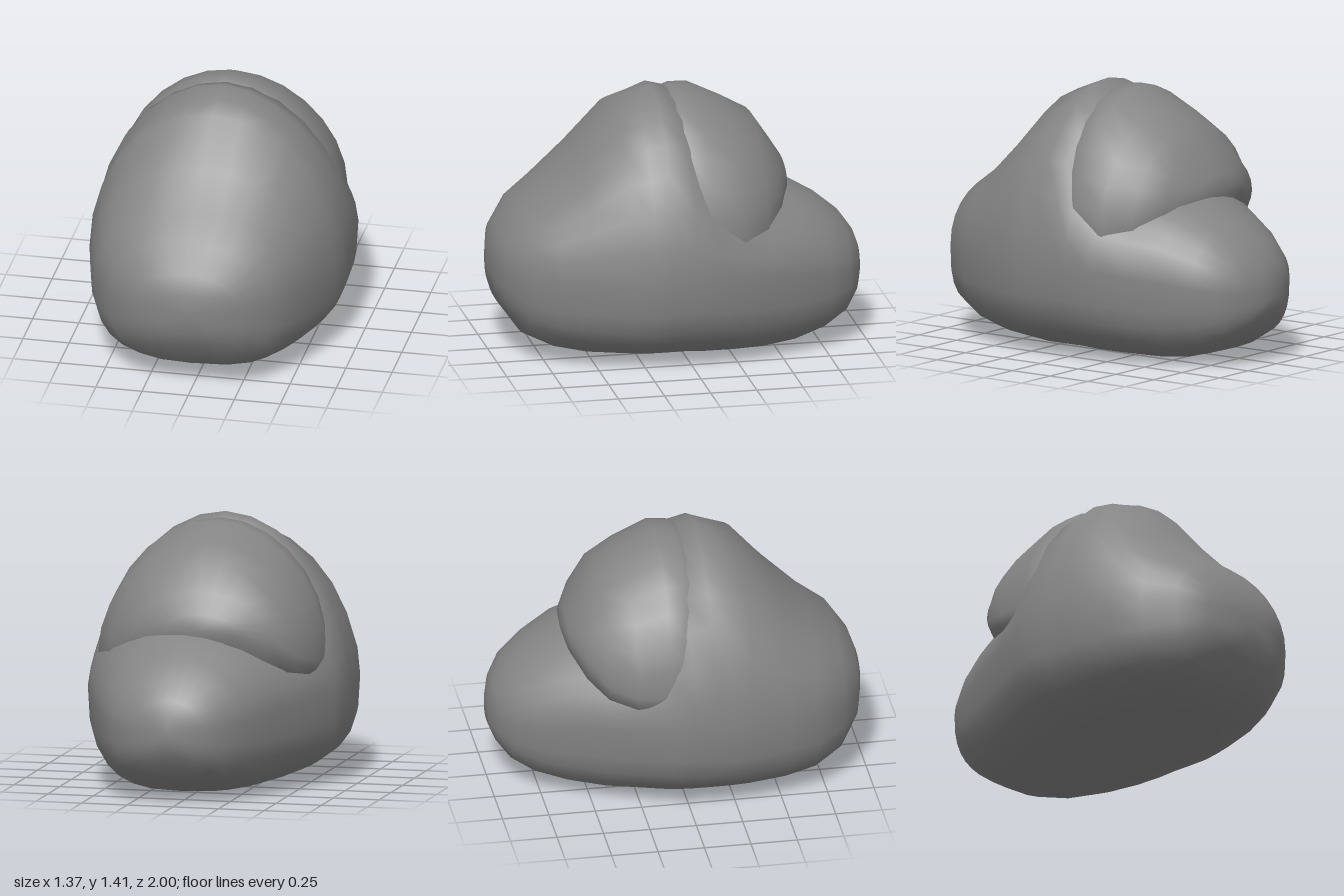
import * as THREE from 'three';
import { mergeVertices } from 'three/addons/utils/BufferGeometryUtils.js';

const SIDES = 28;

// Rounded lump lofted from front to back.
// Each section: [z, centre x, half width, bottom y, widest y, top y, roundness of the top]
function lump(name, sections, lowerPower, material) {
  const pos = [], index = [];
  for (const [z, cx, w, bottom, mid, top, upperPower = 1.9] of sections) {
    for (let j = 0; j < SIDES; j++) {
      const a = (j / SIDES) * Math.PI * 2;
      const c = Math.cos(a), s = Math.sin(a);
      const e = 2 / (s < 0 ? lowerPower : upperPower);
      const x = cx + w * Math.sign(c) * Math.abs(c) ** e;
      const y = mid + (s < 0 ? bottom - mid : top - mid) * Math.abs(s) ** e;
      pos.push(x, y, z);
    }
  }
  for (let i = 0; i < sections.length - 1; i++) {
    for (let j = 0; j < SIDES; j++) {
      const a = i * SIDES + j, d = i * SIDES + ((j + 1) % SIDES);
      const b = a + SIDES, c = d + SIDES;
      index.push(a, b, d, d, b, c);
    }
  }
  let geo = new THREE.BufferGeometry();
  geo.setAttribute('position', new THREE.Float32BufferAttribute(pos, 3));
  geo.setIndex(index);
  geo = mergeVertices(geo, 1e-4); // join the points at both ends
  geo.computeVertexNormals();
  const mesh = new THREE.Mesh(geo, material);
  mesh.name = name;
  return mesh;
}

export function createModel() {
  const group = new THREE.Group();
  group.name = 'boulder';
  const stone = new THREE.MeshStandardMaterial({ color: 0x848484 });

  // Long base: bulging front, high middle, low rounded tail
  group.add(lump('baseLump', [
    [1.0, -0.02, 0, 0.46, 0.46, 0.46],
    [0.985, -0.01, 0.15, 0.35, 0.48, 0.58, 2.1],
    [0.95, -0.02, 0.29, 0.26, 0.49, 0.68, 2.2],
    [0.85, -0.02, 0.44, 0.12, 0.49, 0.82, 2.2],
    [0.7, -0.03, 0.54, 0.05, 0.49, 0.93, 2.2],
    [0.53, -0.02, 0.61, 0.02, 0.5, 1.1, 2.1],
    [0.33, -0.01, 0.665, 0.01, 0.5, 1.33, 2],
    [0.22, 0, 0.68, 0.005, 0.5, 1.375],
    [0.12, 0, 0.685, 0.005, 0.51, 1.415],
    [0, 0, 0.685, 0.005, 0.52, 1.38],
    [-0.1, 0.01, 0.67, 0, 0.52, 1.2],
    [-0.25, 0.03, 0.63, 0, 0.51, 1.0],
    [-0.42, 0.04, 0.565, 0, 0.49, 0.92],
    [-0.6, 0.05, 0.485, 0.02, 0.47, 0.86, 2],
    [-0.77, 0.05, 0.4, 0.07, 0.44, 0.76, 2],
    [-0.89, 0.05, 0.31, 0.14, 0.42, 0.66, 2],
    [-0.96, 0.04, 0.2, 0.23, 0.4, 0.56, 2],
    [-0.99, 0.04, 0.09, 0.3, 0.38, 0.48, 2],
    [-1.0, 0.04, 0, 0.37, 0.37, 0.37],
  ], 2.9, stone));

  // Dome overhanging the tail
  group.add(lump('domeLump', [
    [0.3, -0.02, 0, 0.85, 0.85, 0.85],
    [0.25, -0.02, 0.3, 0.6, 0.82, 1.15],
    [0.1, -0.02, 0.52, 0.45, 0.75, 1.36],
    [0, -0.01, 0.59, 0.42, 0.72, 1.4],
    [-0.1, 0, 0.61, 0.42, 0.7, 1.4],
    [-0.28, 0, 0.595, 0.45, 0.7, 1.31],
    [-0.42, -0.01, 0.51, 0.52, 0.74, 1.23],
    [-0.52, -0.03, 0.39, 0.64, 0.82, 1.08],
    [-0.59, -0.04, 0.2, 0.79, 0.87, 0.97],
    [-0.61, -0.04, 0, 0.88, 0.88, 0.88],
  ], 2, stone));

  return group;
}
